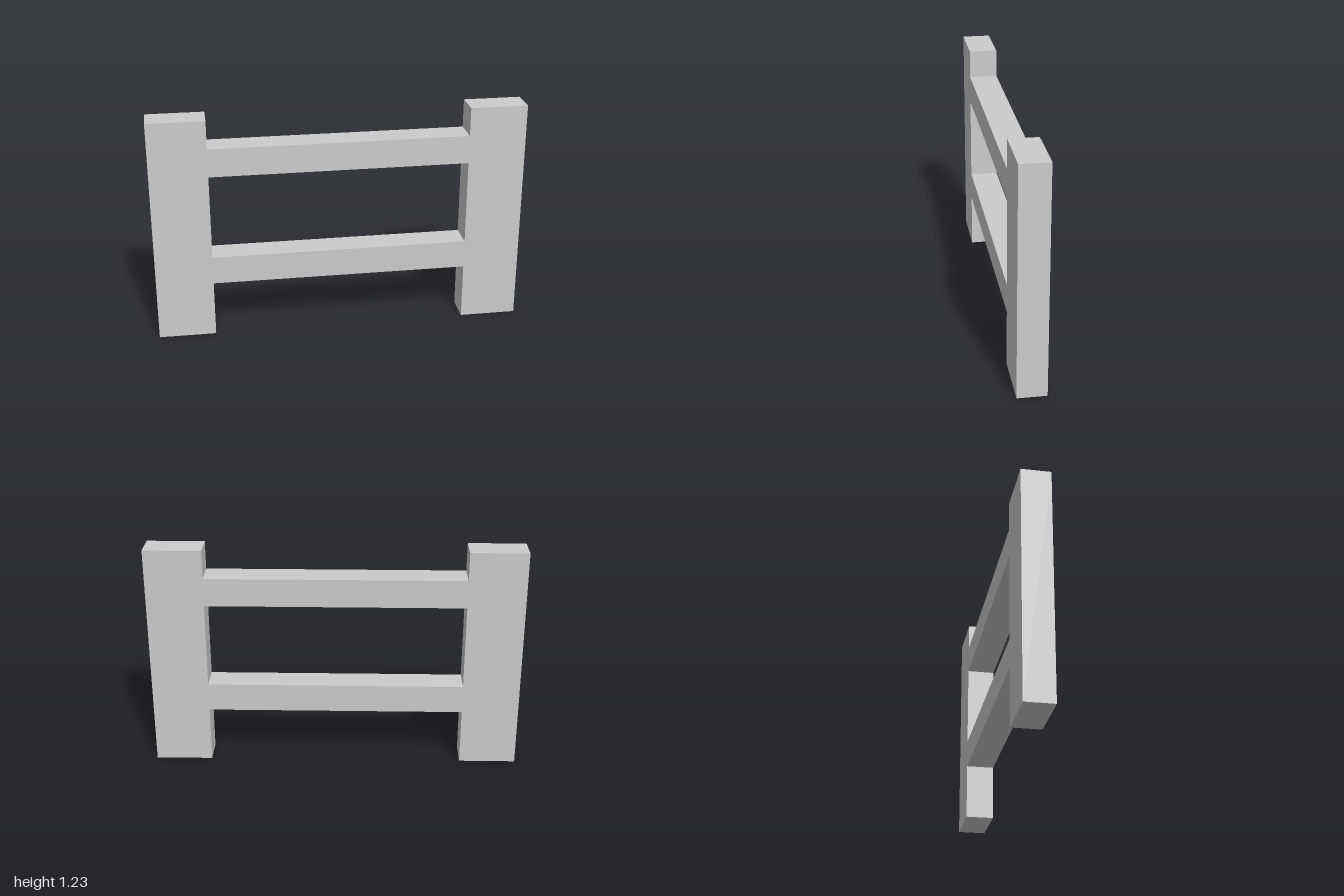
import * as THREE from 'three';

// The fence sits on a grid 13 units wide
const U = 2 / 13;
const points = (list) => list.map(([x, y]) => new THREE.Vector2(x * U, y * U));

export function createModel() {
  const group = new THREE.Group();
  group.name = 'fence';

  const outer = 6.5; // outer side of the posts
  const inner = 4.5; // inner side of the posts
  const height = 8;
  const lowerRail = [2, 3];
  const upperRail = [6, 7];

  // Right half of the outline, bottom to top, mirrored for the other half
  const half = [
    [inner, lowerRail[0]], [inner, 0], [outer, 0],
    [outer, height], [inner, height], [inner, upperRail[1]],
  ];
  const mirrored = half.map(([x, y]) => [-x, y]).reverse();
  const outline = new THREE.Shape(points([...half, ...mirrored]));

  // Opening between the rails
  outline.holes.push(new THREE.Path(points([
    [-inner, lowerRail[1]], [-inner, upperRail[0]],
    [inner, upperRail[0]], [inner, lowerRail[1]],
  ])));

  // Two posts and two flush rails as one solid, without seams
  const geometry = new THREE.ExtrudeGeometry(outline, { depth: U, bevelEnabled: false });
  geometry.translate(0, 0, -U / 2);
  const material = new THREE.MeshStandardMaterial({ color: 0xcccccc, flatShading: true });
  const frame = new THREE.Mesh(geometry, material);
  frame.name = 'postsAndRails';
  group.add(frame);

  return group;
}
